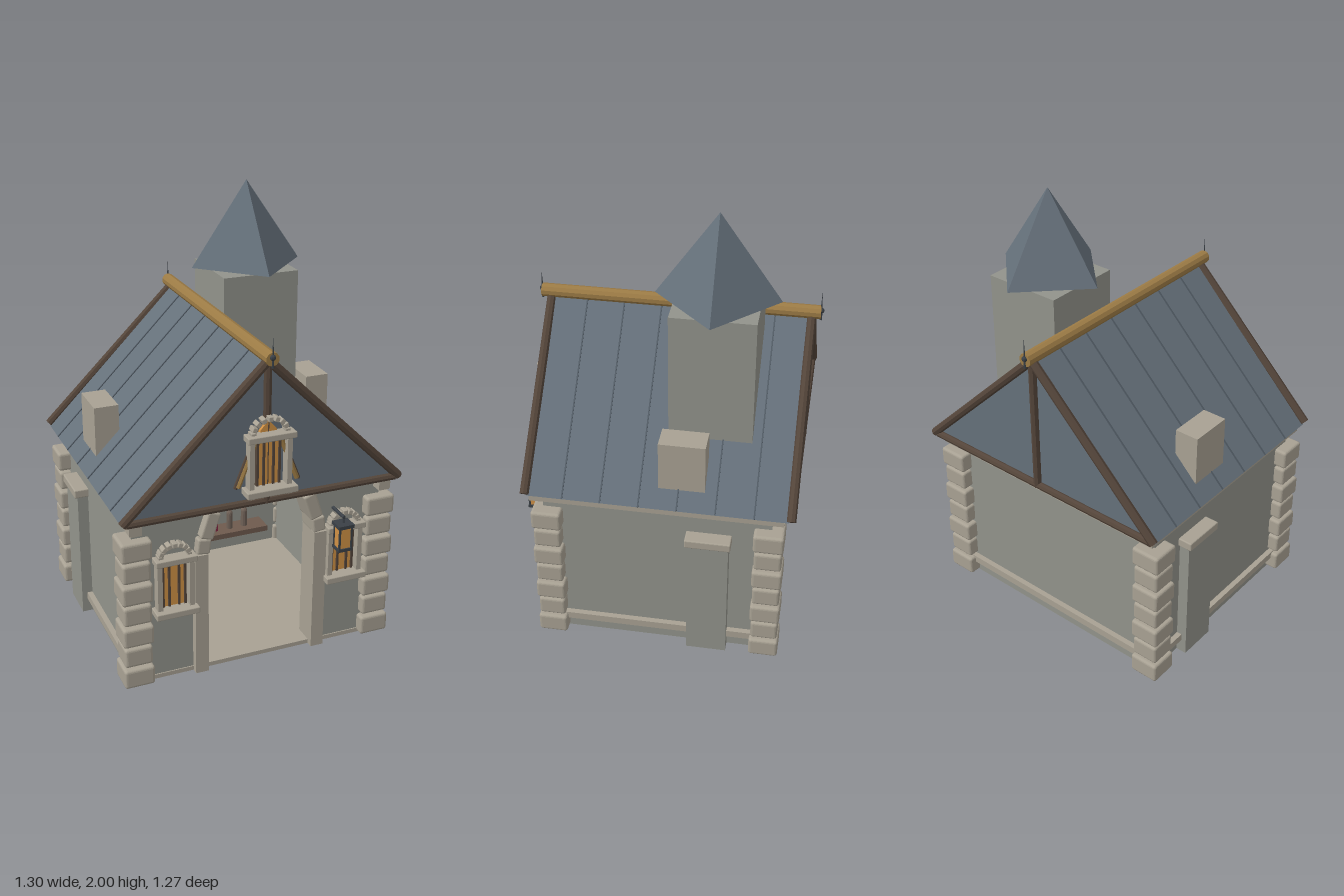
import * as THREE from 'three';
import { RoundedBoxGeometry } from 'three/addons/geometries/RoundedBoxGeometry.js';

const mat = (color) => new THREE.MeshStandardMaterial({ color, flatShading: true });
const WALL = mat(0x92938b), STONE = mat(0xa8a193), SLATE = mat(0x65707a), SEAM = mat(0x515b64);
const WOOD = mat(0x54453a), SHELF = mat(0x6e5a4d), GOLD = mat(0x9c7b45), AMBER = mat(0xd09145);
const IRON = mat(0x3a4046), CRIMSON = mat(0x8f2a48), BOOK = mat(0x6f6157);

function add(parent, name, geo, material, x = 0, y = 0, z = 0, rz = 0) {
  const m = new THREE.Mesh(geo, material);
  m.name = name;
  m.position.set(x, y, z);
  m.rotation.z = rz;
  parent.add(m);
  return m;
}

// Box given by its min and max corners
function span(parent, name, material, x0, x1, y0, y1, z0, z1) {
  return add(parent, name, new THREE.BoxGeometry(x1 - x0, y1 - y0, z1 - z0), material,
    (x0 + x1) / 2, (y0 + y1) / 2, (z0 + z1) / 2);
}

// Slightly rounded stone block
function block(parent, name, w, h, d, x, y, z, rz = 0) {
  return add(parent, name, new RoundedBoxGeometry(w, h, d, 2, Math.min(w, h, d) * 0.14), STONE, x, y, z, rz);
}

// Round beam between two points
function beam(parent, name, material, a, b, r, sides = 8) {
  const p = new THREE.Vector3(...a), q = new THREE.Vector3(...b);
  const m = add(parent, name, new THREE.CylinderGeometry(r, r, p.distanceTo(q), sides), material);
  m.position.copy(p).lerp(q, 0.5);
  m.quaternion.setFromUnitVectors(new THREE.Vector3(0, 1, 0), q.sub(p).normalize());
  return m;
}

function group(parent, name, x = 0, y = 0, z = 0) {
  const g = new THREE.Group();
  g.name = name;
  g.position.set(x, y, z);
  parent.add(g);
  return g;
}

// Shape in the xy plane, extruded from z0 to z1
function extrude(points, z0, z1) {
  const shape = new THREE.Shape(points.map(([x, y]) => new THREE.Vector2(x, y)));
  const geo = new THREE.ExtrudeGeometry(shape, { depth: z1 - z0, bevelEnabled: false });
  return geo.translate(0, 0, z0);
}

function buildWalls(root) {
  const g = group(root, 'walls');
  span(g, 'floor', STONE, -0.575, 0.575, 0, 0.02, -0.5, 0.5);
  span(g, 'backWall', WALL, -0.58, 0.58, 0, 0.8, -0.505, -0.45);
  span(g, 'ceiling', WALL, -0.57, 0.57, 0.785, 0.8, -0.5, 0.48);
  // Front wall around the tall doorway
  add(g, 'frontWall', extrude([[-0.58, 0], [-0.27, 0], [-0.27, 0.6], [-0.245, 0.7], [-0.2, 0.8], [-0.58, 0.8]], 0.42, 0.495), WALL);
  add(g, 'frontWall', extrude([[0.58, 0], [0.58, 0.8], [0.2, 0.8], [0.245, 0.7], [0.27, 0.6], [0.27, 0]], 0.42, 0.495), WALL);
  span(g, 'backTrim', STONE, -0.58, 0.58, 0.065, 0.1, -0.53, -0.5);
  span(g, 'backCornice', STONE, -0.6, 0.6, 0.75, 0.785, -0.555, -0.5);
  for (const s of [-1, 1]) {
    const box = (name, m, x0, x1, ...r) => span(g, name, m, Math.min(s * x0, s * x1), Math.max(s * x0, s * x1), ...r);
    box('sideWall', WALL, 0.52, 0.58, 0, 0.8, -0.505, 0.495);
    box('sideTrim', STONE, 0.57, 0.605, 0.065, 0.1, -0.52, 0.5);
    box('sideCornice', STONE, 0.56, 0.605, 0.75, 0.785, -0.555, 0.55);
    box('cornerCornice', STONE, 0.55, 0.6, 0.745, 0.79, 0.49, 0.55);
    box('buttress', WALL, 0.57, 0.63, 0, 0.61, -0.325, -0.145);
    block(g, 'buttressCap', 0.085, 0.04, 0.2, s * 0.603, 0.63, -0.235);
    // Corner stones
    for (const z of [0.475, -0.495]) {
      for (let i = 0; i < 7; i++) {
        const w = i % 2 ? 0.125 : 0.137;
        block(g, 'cornerStone', w, 0.09, w - 0.005, s * 0.57, 0.05 + i * 0.102, z);
      }
    }
  }
}

function buildDoorway(root) {
  const g = group(root, 'doorway');
  for (const s of [-1, 1]) {
    span(g, 'doorJamb', STONE, s * 0.28 - 0.03, s * 0.28 + 0.03, 0, 0.585, 0.41, 0.53);
    block(g, 'archStone', 0.06, 0.07, 0.12, s * 0.27, 0.625, 0.475, s * 0.12);
    block(g, 'archStone', 0.06, 0.125, 0.12, s * 0.24, 0.718, 0.475, s * 0.32);
  }
}

function buildInterior(root) {
  const g = group(root, 'shelving');
  span(g, 'backBoard', WALL, -0.5, 0.5, 0.02, 0.645, -0.455, -0.44);
  for (const y of [0.135, 0.31, 0.49]) {
    span(g, 'shelf', SHELF, -0.42, 0.42, y, y + 0.028, -0.44, -0.33);
    for (let i = -4; i <= 4; i++) {
      const m = (i + 4) % 3 === 0 ? CRIMSON : BOOK;
      add(g, 'jar', new THREE.CylinderGeometry(0.0165, 0.0165, 0.085, 10), m, -0.013 + i * 0.081, y + 0.07, -0.385);
      add(g, 'jarTop', new THREE.SphereGeometry(0.0165, 10, 5, 0, Math.PI * 2, 0, Math.PI / 2), m, -0.013 + i * 0.081, y + 0.1125, -0.385);
    }
  }
  const t = group(root, 'table');
  span(t, 'tableTop', SHELF, -0.28, -0.11, 0.2, 0.226, -0.24, 0.09);
  for (const x of [-0.25, -0.145]) for (const z of [-0.21, 0.06])
    span(t, 'tableLeg', SHELF, x - 0.013, x + 0.013, 0.02, 0.2, z - 0.013, z + 0.013);
}

// Window with sill, lintel, posts and a ring of small stones; origin at sill bottom on the wall face
function buildWindow(root, name, x, y, z, w, h) {
  const g = group(root, name, x, y, z);
  block(g, 'sill', w, 0.03, 0.075, 0, 0.015, 0.035);
  block(g, 'lintel', w * 0.95, 0.028, 0.06, 0, h - 0.014, 0.03);
  span(g, 'pane', AMBER, -0.048, 0.048, 0.03, h - 0.028, -0.01, 0.012);
  for (const s of [-1, 1]) {
    span(g, 'bracket', STONE, s * w * 0.36 - 0.012, s * w * 0.36 + 0.012, -0.012, 0.003, 0, 0.05);
    span(g, 'post', STONE, s * w * 0.37 - 0.011, s * w * 0.37 + 0.011, 0.03, h - 0.025, 0, 0.045);
    span(g, 'mullion', WOOD, s * 0.022 - 0.005, s * 0.022 + 0.005, 0.03, h - 0.025, 0.005, 0.02);
    span(g, 'frame', WOOD, s * 0.05 - 0.005, s * 0.05 + 0.005, 0.03, h - 0.025, 0, 0.02);
  }
  const r = w * 0.33;
  for (let i = 0; i <= 8; i++) {
    const a = (i / 8) * Math.PI;
    block(g, 'arcStone', 0.022, 0.021, 0.04, Math.cos(a) * r, h + Math.sin(a) * r * 0.8, 0.018, a);
  }
  return g;
}

function buildRoof(root) {
  const g = group(root, 'roof');
  add(g, 'roofBody', extrude([[-0.635, 0.8], [0.635, 0.8], [0, 1.44]], -0.575, 0.55), SLATE);
  for (const s of [-1, 1]) {
    // Thin raised seams down each slope
    for (let i = 0; i < 6; i++)
      add(g, 'roofSeam', new THREE.BoxGeometry(0.9, 0.008, 0.006), SEAM, s * 0.3175, 1.12, -0.43 + i * 0.165, -s * 0.789);
    for (const z of [0.558, -0.586])
      beam(g, 'rakeBeam', WOOD, [0, 1.435, z], [s * 0.637, 0.81, z], 0.02);
  }
  for (const z of [0.555, -0.583]) {
    beam(g, 'tieBeam', WOOD, [-0.62, 0.808, z], [0.62, 0.808, z], 0.017);
    beam(g, 'kingPost', WOOD, [0, 0.8, z], [0, 1.43, z], 0.018);
  }
  beam(g, 'ridgeBeam', GOLD, [0, 1.452, 0.6], [0, 1.452, -0.625], 0.03, 10);
  for (const z of [0.6, -0.625]) {
    add(g, 'finialBall', new THREE.SphereGeometry(0.013, 8, 6), IRON, 0, 1.46, z);
    add(g, 'finialSpike', new THREE.ConeGeometry(0.006, 0.14, 6), IRON, 0, 1.485, z);
  }
  // Chimneys on both slopes
  for (const s of [-1, 1])
    span(g, 'chimney', STONE, s * 0.515 - 0.056, s * 0.515 + 0.056, 0.82, 1.095, -0.213, -0.013);
}

function buildTower(root) {
  const g = group(root, 'tower', 0.23, 0, -0.21);
  span(g, 'towerShaft', WALL, -0.18, 0.18, 0.85, 1.61, -0.18, 0.18);
  add(g, 'towerRoof', new THREE.ConeGeometry(0.264, 0.38, 4), SLATE, 0, 1.81, 0);
}

function buildLantern(root) {
  const g = group(root, 'lantern', 0.355, 0.53, 0.595);
  span(g, 'lanternGlass', AMBER, -0.028, 0.028, 0, 0.105, -0.025, 0.025);
  span(g, 'lanternBase', IRON, -0.034, 0.034, -0.01, 0.004, -0.031, 0.031);
  span(g, 'lanternCap', IRON, -0.037, 0.037, 0.102, 0.118, -0.035, 0.035);
  for (const x of [-0.028, 0.028]) for (const z of [-0.025, 0.025])
    span(g, 'lanternBar', IRON, x - 0.004, x + 0.004, 0, 0.105, z - 0.004, z + 0.004);
  beam(g, 'lanternHook', IRON, [0, 0.115, 0], [0, 0.145, 0], 0.005, 6);
  beam(g, 'lanternArm', IRON, [0, 0.145, 0.005], [0, 0.145, -0.11], 0.008, 6);
}

export function createModel() {
  const root = new THREE.Group();
  root.name = 'house';
  buildWalls(root);
  buildDoorway(root);
  buildInterior(root);
  for (const s of [-1, 1]) buildWindow(root, 'wallWindow', s * 0.4, 0.33, 0.495, 0.195, 0.275);

  // Gable window with pointed pane and slanted wooden braces
  const gable = buildWindow(root, 'gableWindow', 0, 0.86, 0.56, 0.23, 0.27);
  add(gable, 'pointedPane', extrude([[-0.048, 0.24], [0.048, 0.24], [0.035, 0.28], [0, 0.32], [-0.035, 0.28]], -0.005, 0.012), AMBER);
  for (const s of [-1, 1]) {
    beam(gable, 'brace', GOLD, [s * 0.135, 0.035, 0.01], [s * 0.05, 0.25, 0.01], 0.011, 6);
    beam(gable, 'braceEdge', WOOD, [s * 0.145, 0.03, 0.005], [s * 0.058, 0.25, 0.005], 0.009, 6);
  }
  buildRoof(root);
  buildTower(root);
  buildLantern(root);
  return root;
}
